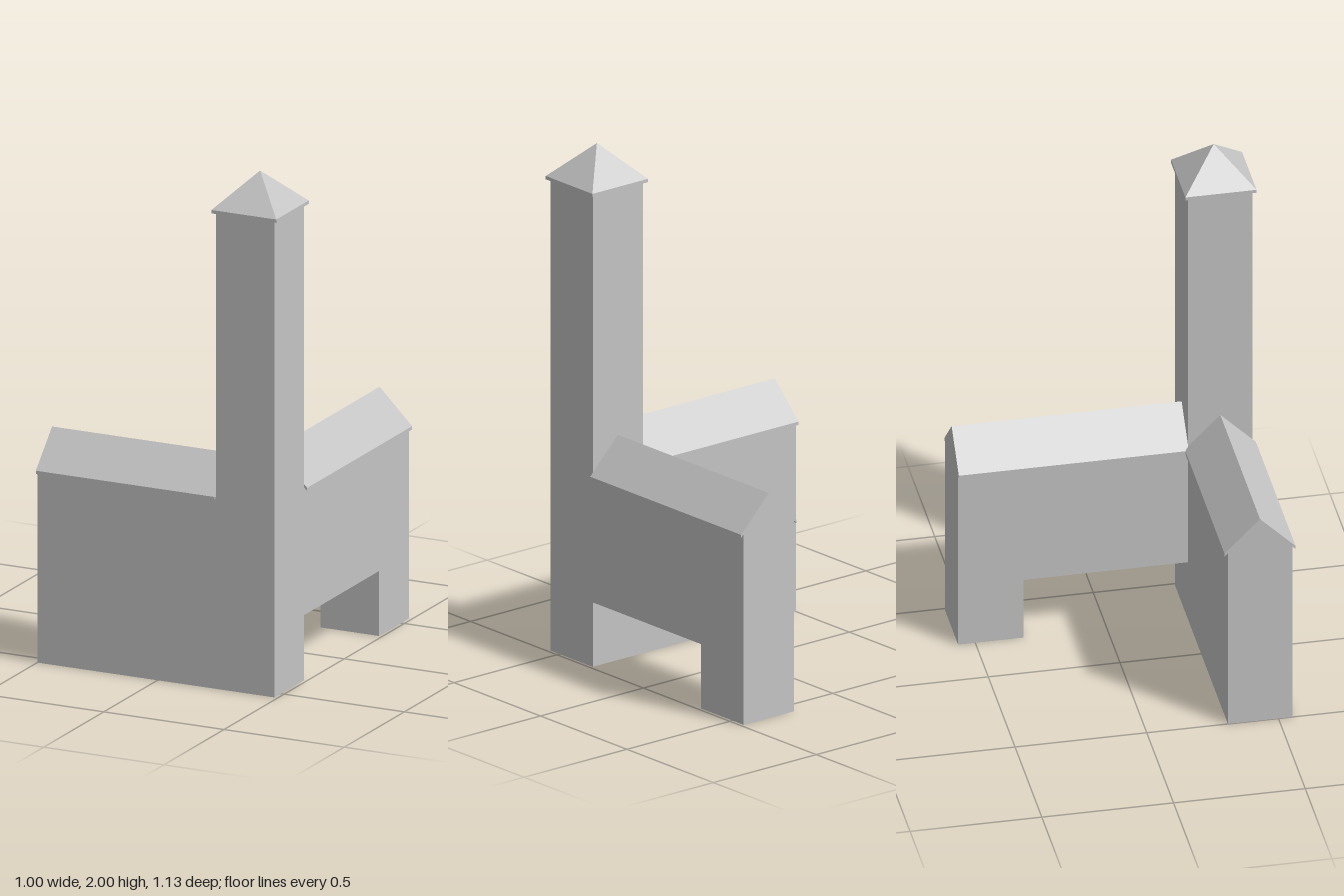
import * as THREE from 'three';

const stone = new THREE.MeshStandardMaterial({ color: 0xc4c4c4, side: THREE.DoubleSide });
stone.name = 'plain grey';

// Main lines of the plan and heights
const L = -0.5, T0 = 0.243, T1 = 0.487, CX = 0.365;        // x: wing end, tower sides
const B = -0.565, Z0 = 0.308, Z1 = 0.553, CZ = 0.43;       // z: wing end, tower sides
const LEG = -0.317, ARCH = 0.253;                          // passage
const EAVE = 0.75, RIDGE = 0.885, TOP = 1.865, APEX = 2;
const OVER = 0.135, THICK = 0.013;

export function createModel() {
  const group = new THREE.Group();
  const add = (name, geometry) => {
    const mesh = new THREE.Mesh(geometry, stone);
    mesh.name = name;
    group.add(mesh);
    return mesh;
  };

  // Flat upright wall: axis it faces, facing sign, position, outline as [x or z, y]
  const wall = (name, axis, f, at, outline) => {
    const pts = outline.map(([u, y]) => new THREE.Vector2(axis === 'z' ? u * f : -u * f, y));
    const g = new THREE.ShapeGeometry(new THREE.Shape(pts));
    g.rotateY(axis === 'z' ? (f > 0 ? 0 : Math.PI) : f * Math.PI / 2);
    add(name, g).position[axis] = at;
  };
  const rect = (a, b, y0, y1) => [[a, y0], [b, y0], [b, y1], [a, y1]];
  const gable = (a, b, c) => [[a, 0], [b, 0], [b, EAVE], [c, RIDGE - THICK], [a, EAVE]];

  // Outer walls, shared by the wings and the tower
  wall('frontWall', 'z', 1, Z1,
    [[L, 0], [T1, 0], [T1, TOP], [T0, TOP], [T0, EAVE], [L, EAVE]]);
  wall('leftWall', 'x', 1, T1,
    [[Z1, 0], [Z1, TOP], [Z0, TOP], [Z0, EAVE], [B, EAVE], [B, 0], [LEG, 0], [LEG, ARCH], [Z0, ARCH], [Z0, 0]]);

  // Courtyard walls
  wall('frontWingCourtWall', 'z', -1, Z0, rect(L, T0, 0, EAVE));
  wall('backWingCourtWall', 'x', -1, T0,
    [[Z0, EAVE], [B, EAVE], [B, 0], [LEG, 0], [LEG, ARCH], [Z0, ARCH]]);

  // Gable ends
  wall('frontWingGable', 'x', -1, L, gable(Z0, Z1, CZ));
  wall('backWingGable', 'z', -1, B, gable(T0, T1, CX));

  // Remaining tower walls
  wall('towerBackWall', 'z', -1, Z0, rect(T0, T1, EAVE, TOP));
  wall('towerRightWall', 'x', -1, T0, rect(Z0, Z1, EAVE, TOP));

  // Passage under the back wing
  wall('passageFrontWall', 'z', -1, Z0, rect(T0, T1, 0, ARCH));
  wall('passageBackWall', 'z', 1, LEG, rect(T0, T1, 0, ARCH));
  const ceiling = add('passageCeiling', new THREE.PlaneGeometry(T1 - T0, Z0 - LEG).rotateX(Math.PI / 2));
  ceiling.position.set(CX, ARCH, (Z0 + LEG) / 2);

  // Thin pitched roofs with overhanging eaves
  const roof = (name, length) => {
    const chevron = new THREE.Shape([
      [-OVER, EAVE], [-OVER, EAVE - THICK], [0, RIDGE - THICK],
      [OVER, EAVE - THICK], [OVER, EAVE], [0, RIDGE],
    ].map(([x, y]) => new THREE.Vector2(x, y)));
    return add(name, new THREE.ExtrudeGeometry(chevron, { depth: length, bevelEnabled: false }));
  };
  roof('backWingRoof', Z0 - B).position.set(CX, 0, B);
  const frontRoof = roof('frontWingRoof', T0 - L);
  frontRoof.rotation.y = Math.PI / 2;
  frontRoof.position.set(L, 0, CZ);

  // Four-sided tower roof
  const r = OVER * Math.SQRT2;
  const profile = [[0, APEX - THICK], [r, TOP - THICK], [r, TOP], [0, APEX]]
    .map(([x, y]) => new THREE.Vector2(x, y));
  const cap = new THREE.LatheGeometry(profile, 4, Math.PI / 4).toNonIndexed();
  cap.computeVertexNormals();
  add('towerRoof', cap).position.set(CX, 0, CZ);

  return group;
}
